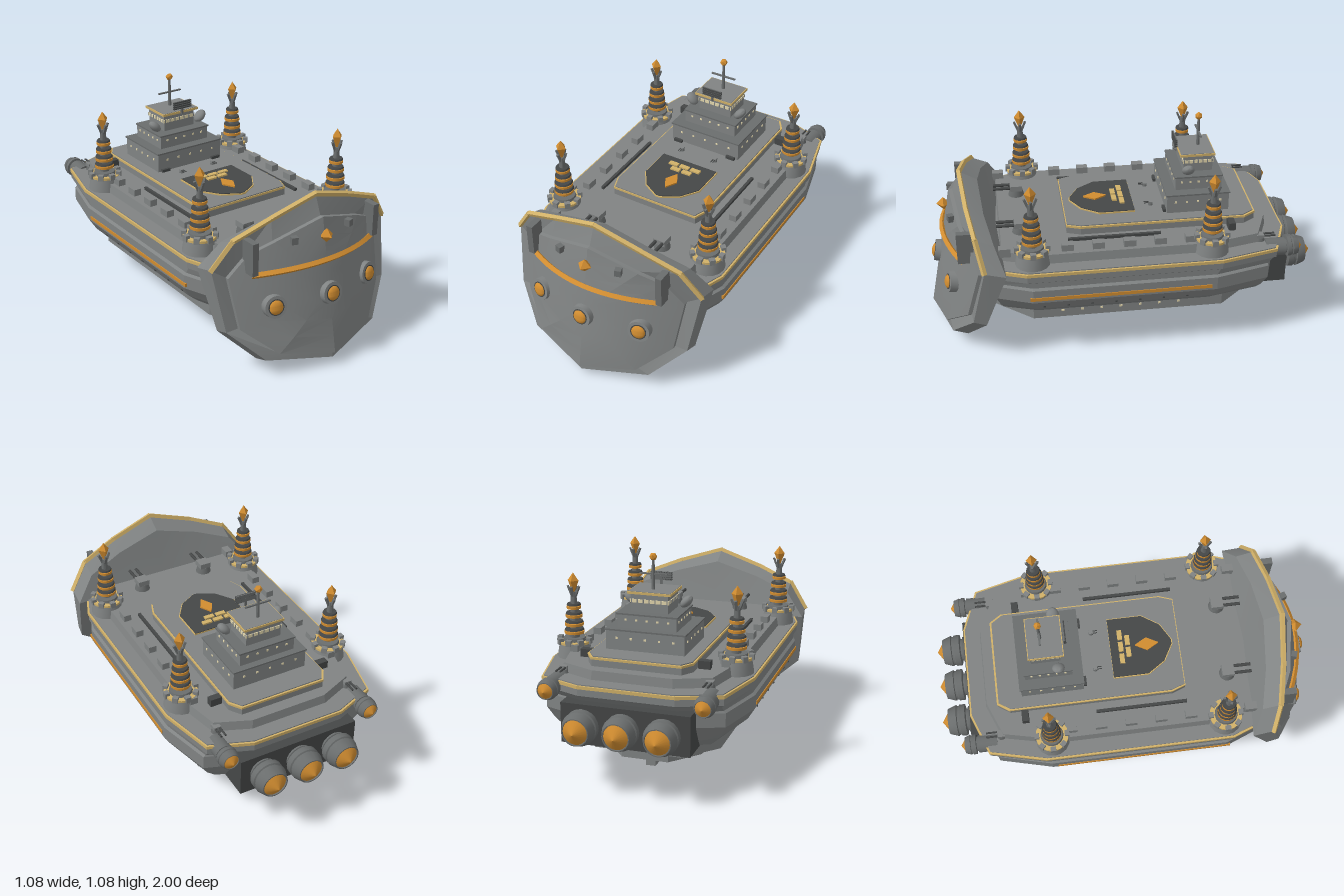
import * as THREE from 'three';
import { toCreasedNormals } from 'three/addons/utils/BufferGeometryUtils.js';

const mat = (name, color) => Object.assign(new THREE.MeshStandardMaterial({ color }), { name });

export function createModel() {
  const hullGrey = mat('hull grey', 0x808383), midGrey = mat('mid grey', 0x6a6d6d);
  const dark = mat('dark iron', 0x454747), gold = mat('gold', 0xd08c30);
  const brass = mat('pale brass', 0xd0b068), cream = mat('window cream', 0xe2d6ac);
  const root = new THREE.Group();
  root.name = 'fortressShip';

  const add = (name, geo, m, x = 0, y = 0, z = 0, parent = root, crease = 0.55) => {
    const mesh = new THREE.Mesh(toCreasedNormals(geo, crease), m);
    mesh.name = name;
    mesh.position.set(x, y, z);
    parent.add(mesh);
    return mesh;
  };
  const box = (name, m, w, h, d, x, y, z, parent) => add(name, new THREE.BoxGeometry(w, h, d), m, x, y, z, parent);
  const cyl = (name, m, rt, rb, h, x, y, z, n = 12, parent = root) =>
    add(name, new THREE.CylinderGeometry(rt, rb, h, n), m, x, y, z, parent);
  const both = (fn) => [-1, 1].forEach(fn);

  // Straight bar between two points
  const bar = (name, m, a, b, w, h, parent = root) => {
    const p = new THREE.Vector3(...a), q = new THREE.Vector3(...b);
    const o = box(name, m, w, h, p.distanceTo(q) + w * 0.5, ...p.clone().lerp(q, 0.5).toArray(), parent);
    o.quaternion.setFromUnitVectors(new THREE.Vector3(0, 0, 1), q.sub(p).normalize());
    return o;
  };

  // Skin over a stack of closed rings, capped by fans at both ends
  const loft = (rings, c0, c1) => {
    const v = [], n = rings[0].length, last = rings.length - 1;
    for (let i = 0; i < n; i++) {
      const j = (i + 1) % n;
      for (let k = 0; k < last; k++) {
        const a = rings[k], b = rings[k + 1];
        v.push(...a[i], ...a[j], ...b[j], ...a[i], ...b[j], ...b[i]);
      }
      v.push(...c0, ...rings[0][j], ...rings[0][i], ...c1, ...rings[last][i], ...rings[last][j]);
    }
    const g = new THREE.BufferGeometry();
    g.setAttribute('position', new THREE.Float32BufferAttribute(v, 3));
    return g;
  };
  // Mirrored deck plan: half outline (x, z) from bow to stern; levels are [y, scale x, scale z]
  const tier = (name, m, half, levels) => {
    const ring = ([y, sx, sz]) => [...half.map(([x, z]) => [x * sx, y, z * sz]),
      ...half.map(([x, z]) => [-x * sx, y, z * sz]).reverse()];
    const mid = (half[0][1] + half.at(-1)[1]) / 2;
    return add(name, loft(levels.map(ring), [0, levels[0][0], mid], [0, levels.at(-1)[0], mid]), m, 0, 0, 0, root, 0.05);
  };

  // Hull
  const plan = [[0.45, 0.7], [0.52, 0.51], [0.52, -0.46], [0.45, -0.75], [0.24, -0.83]];
  tier('hull', hullGrey, plan, [[0.25, 0.82, 0.9], [0.3, 0.93, 0.92], [0.36, 1, 0.95], [0.43, 1, 0.95],
    [0.44, 0.975, 0.95], [0.47, 0.975, 0.985], [0.48, 1, 1], [0.515, 1, 1]]);
  tier('deckEdgeTrim', brass, plan, [[0.514, 1.008, 1.004], [0.53, 1.008, 1.004]]);
  tier('mainDeck', hullGrey, plan, [[0.52, 0.99, 0.993], [0.535, 0.99, 0.993]]);
  tier('upperDeck', hullGrey, plan, [[0.53, 0.85, 0.9], [0.58, 0.83, 0.89]]);
  // Stepped underside
  tier('lowerHull', hullGrey, [[0.2, 0.68], [0.37, 0.48], [0.37, -0.5], [0.22, -0.67]], [[0.16, 1, 1], [0.26, 1, 1]]);
  tier('bottomHull', hullGrey, [[0.12, 0.48], [0.25, 0.32], [0.25, -0.42], [0.12, -0.57]], [[0.08, 1, 1], [0.17, 1, 1]]);
  tier('keel', hullGrey, [[0.025, 0.38], [0.025, -0.48]], [[0.012, 1, 0.7], [0.035, 1, 1], [0.09, 1, 1]]);
  box('keelRear', hullGrey, 0.05, 0.07, 0.3, 0, 0.045, -0.33);
  add('keelBulb', new THREE.SphereGeometry(0.032, 12, 8), dark, 0, 0.065, 0.36);
  for (let i = 0; i < 4; i++) box('keelRib', midGrey, 0.13, 0.05, 0.02, 0, 0.055, 0.2 - i * 0.15);

  // Side strips, windows and battlements
  both((s) => {
    box('sideStrip', gold, 0.012, 0.018, 0.91, s * 0.518, 0.382, 0.045);
    box('deckRail', dark, 0.015, 0.02, 0.47, s * 0.315, 0.585, 0.055);
    for (let i = 0; i < 7; i++) {
      box('window', cream, 0.008, 0.01, 0.014, s * 0.37, 0.2, 0.33 - i * 0.1);
      box('porthole', dark, 0.008, 0.008, 0.012, s * 0.495, 0.32, 0.43 - i * 0.12);
    }
    for (let i = 0; i < 8; i++) box('battlement', hullGrey, 0.04, 0.045, 0.06, s * 0.39, 0.592, 0.61 - i * 0.155);
  });

  // Raised platform with bordered edge
  const plat = [[0.24, 0.29], [0.265, 0.22], [0.265, -0.62], [0.225, -0.68]];
  tier('platform', hullGrey, plat, [[0.57, 1, 1], [0.615, 1, 1]]);
  tier('platformTrim', brass, plat, [[0.614, 1.008, 1.004], [0.625, 1.008, 1.004]]);
  tier('platformDeck', hullGrey, plat, [[0.62, 0.98, 0.99], [0.63, 0.98, 0.99]]);

  // Deck emblem: shield plate, bricks and diamond
  const crest = [[0.012, 0.25], [0.1, 0.2], [0.16, 0.11], [0.16, -0.07]];
  tier('crestBorder', brass, crest, [[0.629, 1.03, 1.02], [0.637, 1.03, 1.02]]);
  tier('crestPlate', dark, crest, [[0.63, 1, 1], [0.641, 1, 1]]);
  [[-0.065, -0.015], [0, -0.015], [0.065, -0.015], [-0.033, 0.022], [0.033, 0.022]].forEach(([x, z]) =>
    box('crestBrick', brass, 0.053, 0.009, 0.025, x, 0.645, z));
  tier('crestDiamond', gold, [[0.002, 0.18], [0.035, 0.12], [0.002, 0.06]], [[0.64, 1, 1], [0.649, 1, 1]]);

  // Bow shield: rear rim, front rim, then a raised plate curving across its width
  const mirror = (h) => [...h.map(([x, y, z]) => [-x, y, z]), ...h.slice(1, -1).reverse()];
  const faceZ = (x, y) => 1.015 - 0.195 * y - 0.85 * x * x;
  const rearRim = [[0, 0.79, 0.72], [0.238, 0.725, 0.7], [0.43, 0.655, 0.66], [0.53, 0.53, 0.61],
    [0.495, 0.233, 0.72], [0.34, 0.077, 0.82], [0, 0.01, 0.91]];
  const frontRim = [[0, 0.842, 0.81], [0.238, 0.768, 0.785], [0.43, 0.692, 0.75], [0.525, 0.555, 0.715],
    [0.488, 0.25, 0.785], [0.335, 0.1, 0.895], [0, 0.045, 0.985]];
  const plate = [[0, 0.745], [0.25, 0.67], [0.37, 0.61], [0.45, 0.503], [0.426, 0.256], [0.278, 0.13], [0, 0.077]];
  const plateRing = (k, dz = 0) => plate.map(([x, y]) => {
    const px = x * k, py = 0.42 + (y - 0.42) * k;
    return [px, py, faceZ(px, py) + dz];
  });
  add('bowShield', loft([rearRim, frontRim, plateRing(1, -0.02), plateRing(1), plateRing(0.75), plateRing(0.5),
    plateRing(0.25)].map(mirror), [0, 0.53, 0.64], [0, 0.42, faceZ(0, 0.42)]), hullGrey, 0, 0, 0, root, 0.25);
  both((s) => {
    for (let i = 0; i < 3; i++) {
      const [a, b] = [frontRim[i], frontRim[i + 1]].map(([x, y, z]) => [s * x, y, z]);
      bar('bowTrim', brass, a, b, 0.02, 0.02);
    }
    box('bowBlade', midGrey, 0.033, 0.165, 0.08, s * 0.365, 0.615, 0.8);
    box('bowBracket', midGrey, 0.032, 0.035, 0.03, s * 0.165, 0.67, 0.865).rotation.y = s * 0.3;
  });
  const arc = new THREE.QuadraticBezierCurve3(new THREE.Vector3(-0.365, 0.522, 0.81),
    new THREE.Vector3(0, 0.562, 1.02), new THREE.Vector3(0.365, 0.522, 0.81));
  add('bowBand', new THREE.TubeGeometry(arc, 16, 0.016, 4), gold);
  add('bowGem', new THREE.OctahedronGeometry(0.036), gold, 0, 0.663, 0.9);
  [[-0.283, 0.37], [0, 0.382], [0.283, 0.37]].forEach(([x, y]) => {
    const g = new THREE.Group();
    g.name = 'bowLamp';
    g.position.set(x, y, faceZ(x, y) + 0.006);
    g.rotation.set(-0.19, x * 0.8, 0);
    root.add(g);
    cyl('lampRing', hullGrey, 0.055, 0.058, 0.04, 0, 0, 0, 24, g).rotation.x = Math.PI / 2;
    cyl('lampSocket', dark, 0.04, 0.04, 0.006, 0, 0, 0.019, 24, g).rotation.x = Math.PI / 2;
    add('lampGlass', new THREE.SphereGeometry(0.036, 16, 12), gold, 0, 0, 0.018, g).scale.z = 0.5;
  });

  // Corner towers
  both((s) => [-0.42, 0.475].forEach((z) => {
    const g = new THREE.Group();
    g.name = 'cornerTower';
    g.position.set(s * 0.42, 0, z);
    root.add(g);
    cyl('towerBase', hullGrey, 0.075, 0.09, 0.09, 0, 0.565, 0, 16, g);
    cyl('towerRing', brass, 0.084, 0.084, 0.012, 0, 0.611, 0, 16, g);
    cyl('towerTop', midGrey, 0.055, 0.06, 0.02, 0, 0.622, 0, 16, g);
    for (let i = 0; i < 8; i++) {
      const t = i * Math.PI / 4;
      box('merlon', hullGrey, 0.024, 0.03, 0.028, 0.077 * Math.cos(t), 0.618, 0.077 * Math.sin(t), g).rotation.y = -t;
    }
    cyl('towerColumn', midGrey, 0.014, 0.026, 0.24, 0, 0.745, 0, 12, g);
    [[0.66, 0.05], [0.7, 0.047], [0.743, 0.042], [0.787, 0.036]].forEach(([y, r]) => {
      cyl('goldDisc', gold, r, r, 0.013, 0, y, 0, 16, g);
      cyl('ironDisc', dark, r * 0.9, r, 0.009, 0, y + 0.015, 0, 16, g);
    });
    for (let i = 0; i < 4; i++) {
      const c = Math.cos(i * Math.PI / 2), d = Math.sin(i * Math.PI / 2);
      bar('crystalClaw', midGrey, [c * 0.01, 0.845, d * 0.01], [c * 0.029, 0.892, d * 0.029], 0.011, 0.011, g);
    }
    add('towerCrystalTop', new THREE.ConeGeometry(0.029, 0.04, 4), gold, 0, 0.943, 0, g);
    add('towerCrystalBase', new THREE.CylinderGeometry(0.029, 0.004, 0.065, 4), gold, 0, 0.8905, 0, g);
  }));

  // Bridge tiers with window rows
  [[0.4, 0.1, 0.32, 0.68, -0.39], [0.3, 0.075, 0.24, 0.767, -0.4]].forEach(([w, h, d, y, z]) => {
    box('bridgeTier', hullGrey, w, h, d, 0, y, z);
    box('bridgeLedge', midGrey, w + 0.01, 0.008, d + 0.01, 0, y + h / 2, z);
    for (let i = -2; i <= 2; i++) both((s) => {
      box('bridgeWindow', cream, 0.011, 0.01, 0.006, i * w * 0.18, y + 0.01, z + s * d / 2);
      box('bridgeWindow', cream, 0.006, 0.01, 0.011, s * w / 2, y + 0.01, z + i * d * 0.18);
    });
  });
  box('bridgeTop', hullGrey, 0.19, 0.1, 0.15, 0, 0.85, -0.405);
  box('bridgeGlazing', cream, 0.198, 0.017, 0.158, 0, 0.864, -0.405);
  for (let i = -3; i <= 3; i++) {
    box('glazingBar', hullGrey, 0.006, 0.018, 0.161, i * 0.03, 0.864, -0.405);
    box('glazingBar', hullGrey, 0.201, 0.018, 0.006, 0, 0.864, -0.405 + i * 0.024);
  }
  box('roofTrim', brass, 0.22, 0.012, 0.18, 0, 0.904, -0.4);
  box('roof', hullGrey, 0.212, 0.014, 0.172, 0, 0.905, -0.4);
  both((s) => {
    const dish = add('sensorPod', new THREE.SphereGeometry(0.038, 16, 10), hullGrey, s * 0.145, 0.842, -0.345);
    dish.scale.set(0.6, 1, 0.85);
    dish.rotation.z = -s * 0.8;
  });
  cyl('mast', midGrey, 0.007, 0.009, 0.16, 0, 0.98, -0.42, 12);
  box('mastYard', midGrey, 0.14, 0.007, 0.01, 0, 0.988, -0.42);
  add('mastFinial', new THREE.IcosahedronGeometry(0.02), gold, 0, 1.073, -0.42);
  box('radarPost', midGrey, 0.01, 0.05, 0.01, 0, 0.925, -0.3);
  box('radarBack', midGrey, 0.108, 0.042, 0.006, 0, 0.95, -0.3);
  for (let i = 0; i < 4; i++) box('radarSlat', dark, 0.11, 0.006, 0.012, 0, 0.934 + i * 0.011, -0.297);

  // Deck guns and fittings
  const gun = (x, y, z, r, len, dir) => {
    cyl('gunBase', midGrey, r * 0.8, r, r * 0.8, x, y + r * 0.4, z, 16);
    box('gunHouse', hullGrey, r * 1.5, r * 0.7, r * 1.5, x, y + r * 1.1, z);
    both((s) => { cyl('gunBarrel', dark, r * 0.2, r * 0.2, len, x + s * r * 0.45, y + r * 1.15, z + dir * len * 0.6, 12).rotation.x = Math.PI / 2; });
  };
  both((s) => {
    gun(s * 0.19, 0.58, 0.52, 0.042, 0.11, 1);
    gun(s * 0.365, 0.535, -0.68, 0.025, 0.07, -1);
    gun(s * 0.1, 0.63, -0.16, 0.013, 0.03, 1);
    box('deckLocker', dark, 0.06, 0.04, 0.035, s * 0.3, 0.6, -0.545);
    box('deckLocker', dark, 0.05, 0.02, 0.015, s * 0.16, 0.635, -0.22);
  });

  // Engine block and thrusters
  box('engineBlock', dark, 0.64, 0.2, 0.2, 0, 0.345, -0.745);
  const profile = [[0, 0], [0.8, 0], [0.85, 0.2], [0.7, 0.25], [0.7, 0.35], [1, 0.4], [1, 0.75], [0.92, 0.8],
    [0.92, 0.9], [1, 0.95], [0.8, 1.5], [0.74, 1.5], [0.72, 1.4], [0, 1.4]];
  const thruster = (x, y, z, r) => {
    const g = new THREE.Group();
    g.name = 'thruster';
    g.position.set(x, y, z);
    g.rotation.x = -Math.PI / 2;
    root.add(g);
    add('thrusterShell', new THREE.LatheGeometry(profile.map(([a, b]) => new THREE.Vector2(a * r, b * r)), 20), midGrey, 0, 0, 0, g);
    add('thrusterGlow', new THREE.ConeGeometry(r * 0.74, r * 0.5, 20), gold, 0, r * 1.66, 0, g);
  };
  [-0.2, 0, 0.2].forEach((x) => thruster(x, 0.35, -0.84, 0.084));
  both((s) => {
    thruster(s * 0.385, 0.5, -0.795, 0.052);
    cyl('thrusterMount', midGrey, 0.046, 0.046, 0.1, s * 0.385, 0.5, -0.755, 20).rotation.x = Math.PI / 2;
  });

  return root;
}
